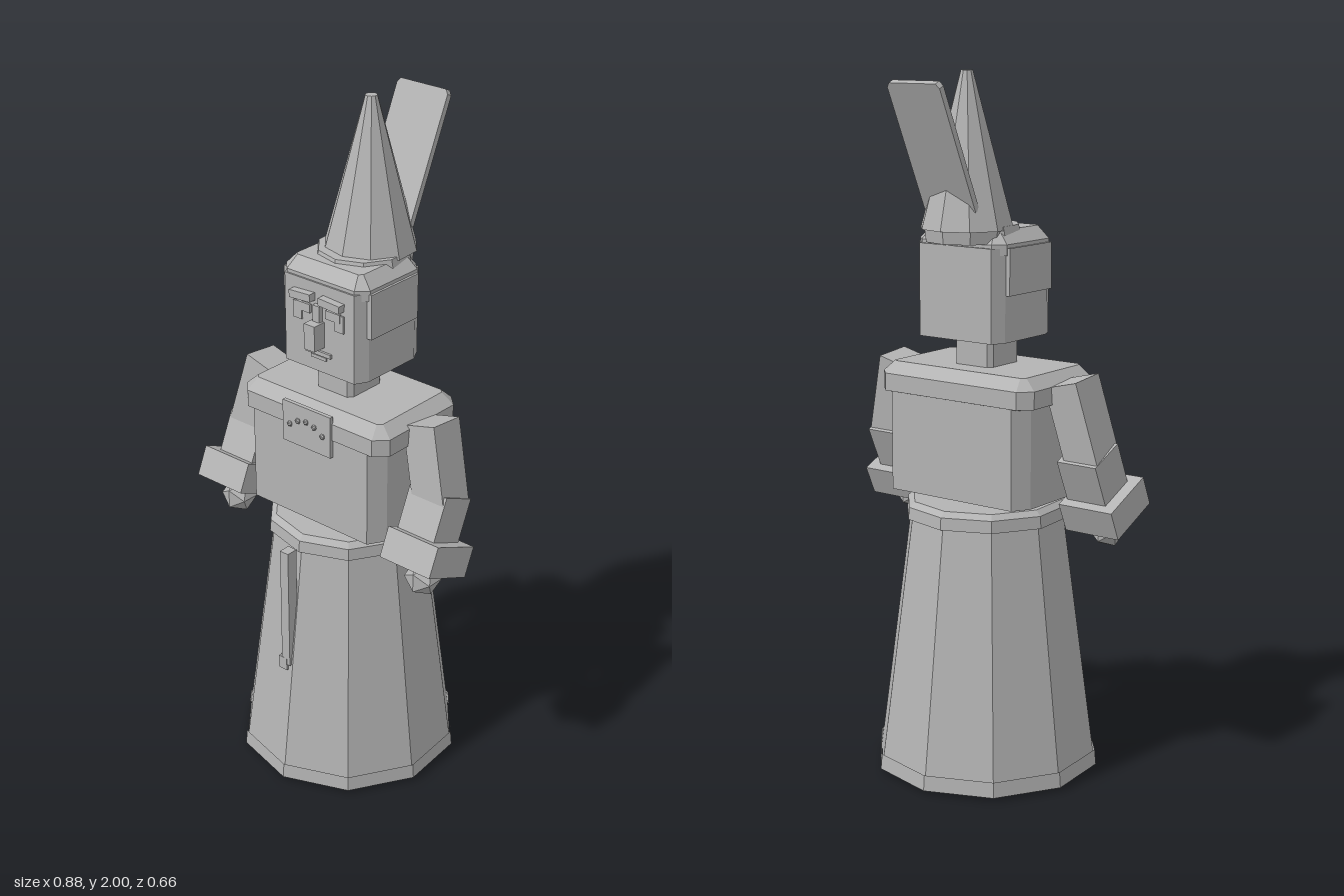
import * as THREE from 'three';

const grey = new THREE.MeshStandardMaterial({ color: 0xb4b4b4 });
grey.name = 'plain grey';
grey.side = THREE.DoubleSide;
grey.flatShading = true;

// Block with cut corners, lofted from rings of [y, halfWidth, halfDepth, cutX, cutZ]
function cutBlock(rings) {
  const loops = rings.map(([y, w, d, a, b]) => [
    [w - a, d], [w, d - b], [w, b - d], [w - a, -d],
    [a - w, -d], [-w, b - d], [-w, d - b], [a - w, d],
  ].map(([x, z]) => [x, y, z]));
  const pos = [];
  const tri = (...pts) => pts.forEach((p) => pos.push(...p));
  for (let r = 0; r < loops.length - 1; r++) {
    for (let i = 0; i < 8; i++) {
      const j = (i + 1) % 8, lo = loops[r], hi = loops[r + 1];
      tri(lo[i], lo[j], hi[j]);
      tri(lo[i], hi[j], hi[i]);
    }
  }
  const bottom = loops[0], top = loops[loops.length - 1];
  for (let i = 1; i < 7; i++) {
    tri(top[0], top[i], top[i + 1]);
    tri(bottom[0], bottom[i + 1], bottom[i]);
  }
  const g = new THREE.BufferGeometry();
  g.setAttribute('position', new THREE.Float32BufferAttribute(pos, 3));
  g.computeVertexNormals();
  return g;
}

export function createModel() {
  const model = new THREE.Group();
  model.name = 'robedFigure';

  const add = (name, geometry, x = 0, y = 0, z = 0, rx = 0, rz = 0) => {
    const m = new THREE.Mesh(geometry, grey);
    m.name = name;
    m.position.set(x, y, z);
    m.rotation.set(rx, 0, rz);
    model.add(m);
    return m;
  };
  const box = (name, w, h, d, x, y, z, rx, rz) =>
    add(name, new THREE.BoxGeometry(w, h, d), x, y, z, rx, rz);
  const drum = (name, rTop, rBottom, y0, y1, z = 0, open = false, turn = 0.077) =>
    add(name, new THREE.CylinderGeometry(rTop, rBottom, y1 - y0, 10, 1, open, turn), 0, (y0 + y1) / 2, z);

  // Hollow skirt, hem and waistband
  drum('skirt', 0.222, 0.325, 0.01, 0.78, 0, true);
  drum('hem', 0.325, 0.329, 0.01, 0.055, 0, true);
  drum('waistband', 0.235, 0.238, 0.75, 0.785);
  drum('waistbandRim', 0.218, 0.235, 0.785, 0.8);

  // Hanging cord
  box('cord', 0.03, 0.38, 0.035, 0, 0.57, 0.262);
  box('cordEnd', 0.03, 0.04, 0.03, -0.012, 0.38, 0.265);

  // Torso, shoulder yoke and neck
  add('torso', cutBlock([[0.82, 0.24, 0.168, 0.03, 0.05], [1.12, 0.24, 0.168, 0.03, 0.05]]));
  add('shoulderYoke', cutBlock([
    [1.1, 0.245, 0.155, 0.03, 0.03], [1.105, 0.264, 0.172, 0.035, 0.035],
    [1.155, 0.264, 0.172, 0.035, 0.035], [1.187, 0.23, 0.138, 0.012, 0.012],
  ]));
  add('neck', cutBlock([[1.17, 0.065, 0.07, 0.012, 0.015], [1.29, 0.065, 0.07, 0.012, 0.015]]));

  // Chest plate with an arc of studs
  box('chestPlate', 0.175, 0.125, 0.012, 0, 1.115, 0.174);
  for (let i = -2; i <= 2; i++) {
    add('chestStud', new THREE.IcosahedronGeometry(0.009, 0), i * 0.03, 1.135 - 0.006 * i * i, 0.181);
  }

  // Head with face details
  add('head', cutBlock([[1.27, 0.144, 0.134, 0.02, 0.038], [1.53, 0.144, 0.134, 0.02, 0.038]]), 0, 0, -0.011);
  box('nose', 0.038, 0.075, 0.045, 0, 1.385, 0.142);
  box('noseBridge', 0.024, 0.06, 0.02, 0, 1.44, 0.127);
  box('mouth', 0.09, 0.012, 0.012, 0, 1.328, 0.124);
  box('lowerLip', 0.055, 0.01, 0.012, 0, 1.314, 0.122);
  for (const s of [-1, 1]) {
    box('eyebrow', 0.075, 0.022, 0.025, s * 0.052, 1.487, 0.133, 0, s * -0.06);
    box('eye', 0.05, 0.025, 0.012, s * 0.053, 1.45, 0.124);
    box('cheek', 0.03, 0.05, 0.012, s * 0.075, 1.435, 0.122);
    box('earFlap', 0.02, 0.13, 0.195, s * 0.147, 1.465, -0.007);
  }

  // Cap
  add('cap', cutBlock([
    [1.51, 0.15, 0.128, 0.03, 0.03], [1.54, 0.15, 0.128, 0.03, 0.03], [1.575, 0.118, 0.098, 0.01, 0.01],
  ]), 0, 0, -0.01);
  drum('capRing', 0.128, 0.135, 1.56, 1.585, -0.06);

  // Pointed hat with a low rim at the back
  drum('hatRim', 0.127, 0.122, 1.54, 1.58, -0.085);
  drum('hatCone', 0.017, 0.132, 1.575, 2, -0.089);

  // Upright plate behind the hat, with clipped upper corners
  const plate = new THREE.Shape();
  [[-0.088, 0], [0.088, 0], [0.088, 0.365], [0.078, 0.378], [-0.078, 0.378], [-0.088, 0.365]]
    .forEach(([x, y], i) => (i ? plate.lineTo(x, y) : plate.moveTo(x, y)));
  add('rearPlate', new THREE.ExtrudeGeometry(plate, { depth: 0.018, bevelEnabled: false }),
    0, 1.627, -0.165, -0.43);

  // Arms, cuffs, hands, legs and shoes
  for (const s of [-1, 1]) {
    box('upperArm', 0.107, 0.235, 0.112, s * 0.322, 1.055, 0.009, -0.1, s * 0.25);
    box('forearm', 0.127, 0.17, 0.12, s * 0.34, 0.893, 0.043, -0.42);
    box('cuff', 0.174, 0.09, 0.175, s * 0.352, 0.813, 0.079, -0.42);
    add('hand', new THREE.IcosahedronGeometry(0.053, 0), s * 0.352, 0.738, 0.093);
    box('leg', 0.11, 0.7, 0.12, s * 0.13, 0.41, 0);
    box('shoe', 0.145, 0.06, 0.22, s * 0.13, 0.055, 0.042);
    box('sole', 0.165, 0.028, 0.245, s * 0.13, 0.014, 0.042);
  }
  return model;
}
